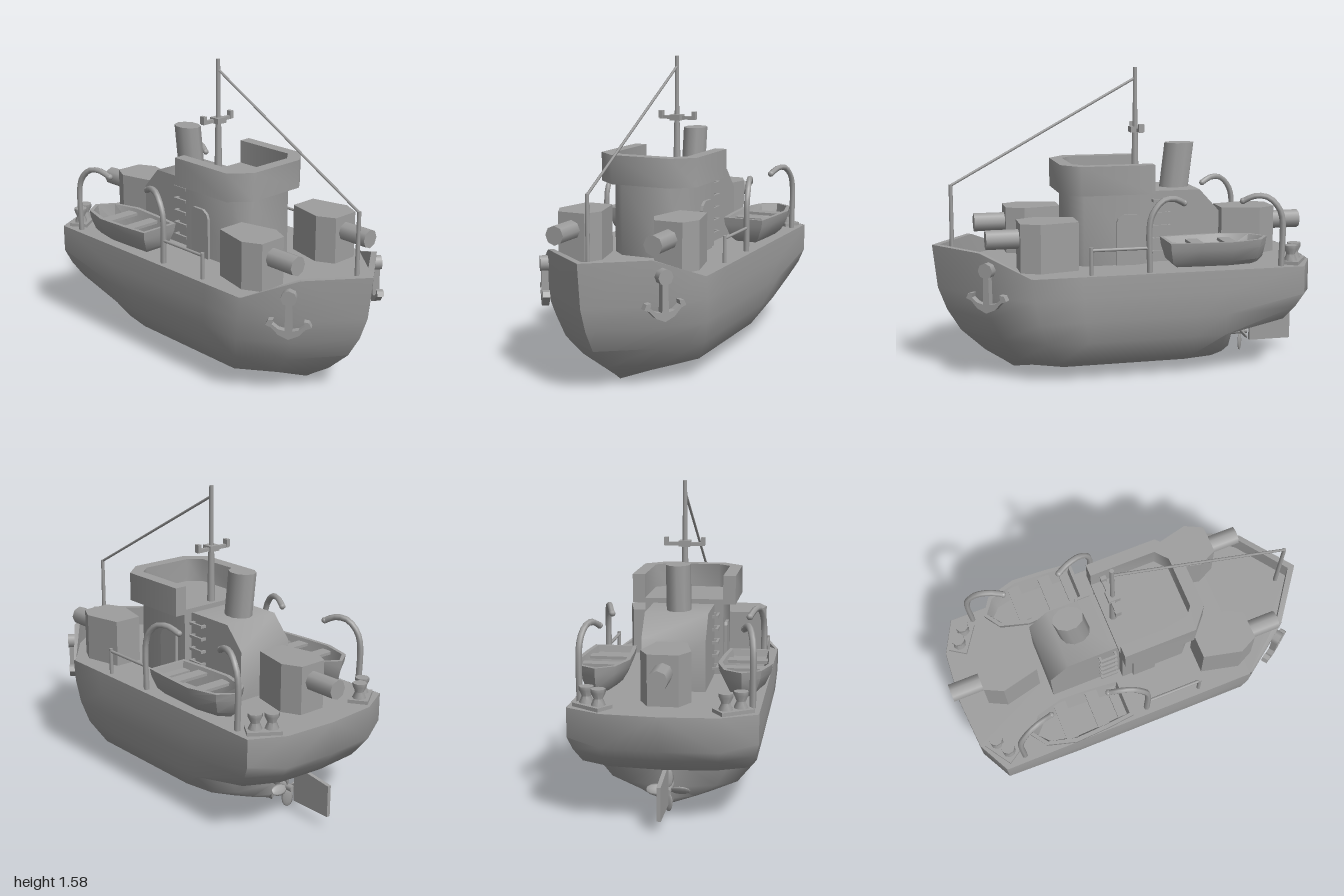
import * as THREE from 'three';
import { toCreasedNormals } from 'three/addons/utils/BufferGeometryUtils.js';

const grey = new THREE.MeshStandardMaterial({ color: 0x9e9e9e, side: THREE.DoubleSide });
const V = (x, y, z) => new THREE.Vector3(x, y, z);

function add(parent, name, geo, x = 0, y = 0, z = 0) {
  const mesh = new THREE.Mesh(geo, grey);
  mesh.name = name;
  mesh.position.set(x, y, z);
  parent.add(mesh);
  return mesh;
}

function group(parent, name, x = 0, y = 0, z = 0) {
  const g = new THREE.Group();
  g.name = name;
  g.position.set(x, y, z);
  parent.add(g);
  return g;
}

// Skin over patches, each made of rows of [x, y, z] points, optionally mirrored in x
function skin(patches, mirror, crease) {
  const pos = [];
  for (const s of mirror ? [1, -1] : [1]) {
    const tri = (a, b, c) => {
      for (const p of s > 0 ? [a, b, c] : [a, c, b]) pos.push(p[0] * s, p[1], p[2]);
    };
    for (const rows of patches) {
      for (let i = 0; i < rows.length - 1; i++) {
        for (let j = 0; j < rows[i].length - 1; j++) {
          const a = rows[i][j], b = rows[i][j + 1], c = rows[i + 1][j], d = rows[i + 1][j + 1];
          tri(a, c, b);
          tri(b, c, d);
        }
      }
    }
  }
  const geo = new THREE.BufferGeometry();
  geo.setAttribute('position', new THREE.Float32BufferAttribute(pos, 3));
  return toCreasedNormals(geo, crease);
}

const outline = (pts) => new THREE.Shape(pts.map(([x, y]) => new THREE.Vector2(x, y)));
const extrude = (pts, depth) => new THREE.ExtrudeGeometry(outline(pts), { depth, bevelEnabled: false })
  .translate(0, 0, -depth / 2);
// Horizontal slab from an [x, z] outline
const slab = (pts, y0, y1) => extrude(pts.map(([x, z]) => [x, -z]), y1 - y0)
  .rotateX(-Math.PI / 2).translate(0, (y0 + y1) / 2, 0);
// Completes a right-hand half outline with its mirror image
const both = (half) => [...half, ...half.filter(([x]) => x > 0).map(([x, z]) => [-x, z]).reverse()];
const soft = (geo) => toCreasedNormals(geo, 1);

function rod(parent, name, a, b, r, r2 = r, sides = 8) {
  const dir = b.clone().sub(a);
  const mesh = add(parent, name, new THREE.CylinderGeometry(r2, r, dir.length(), sides));
  mesh.position.copy(a).add(b).multiplyScalar(0.5);
  mesh.quaternion.setFromUnitVectors(V(0, 1, 0), dir.normalize());
}

function buildHull(ship) {
  const hull = group(ship, 'hull');
  // Levels from rail to keel: height, half width, stem z
  const levels = [[0.565, 0.455, 1], [0.45, 0.455, 0.975], [0.33, 0.443, 0.93], [0.215, 0.415, 0.86],
    [0.1, 0.35, 0.735], [0.038, 0.21, 0.64], [0, 0, 0.585]];
  const stations = [[1, 0], [0.79, 0.62], [0.55, 1], [0.3, 1], [0, 1], [-0.3, 1], [-0.46, 1]];
  const rows = levels.map(([y, w, bow], k) => stations.map(([z, f], j) =>
    [w * f, k === 0 && j < 2 ? 0.675 : y, z > 0 ? z * bow : z]));
  // Lower body rounds in to the stern post: half widths and post z
  const run = [[0.415, 0.3, 0.02, -0.61], [0.32, 0.22, 0.018, -0.59], [0.175, 0.11, 0.015, -0.578], [0, 0, 0, -0.57]];
  const lower = run.map(([w0, w1, w2, post], i) => {
    const y = levels[i + 3][0];
    return [...rows[i + 3].slice(0, 6), [w0, y, -0.46],
      [w1, i ? y : 0.23, -0.54], [w2, i ? y : 0.245, post], [0, i ? y : 0.245, post]];
  });
  // Upper body carries on round the overhanging stern
  const stern = [
    [[0.455, 0.565, -0.87], [0.28, 0.565, -0.96], [0, 0.565, -0.98]],
    [[0.455, 0.42, -0.87], [0.28, 0.4, -0.96], [0, 0.4, -0.98]],
    [[0.435, 0.35, -0.83], [0.27, 0.345, -0.92], [0, 0.345, -0.94]],
    [[0.4, 0.28, -0.78], [0.25, 0.29, -0.88], [0, 0.29, -0.9]]];
  const upper = stern.map((pts, i) => [...rows[i], ...pts]);
  const edge = upper[3].slice(6);
  const overhang = [edge, edge.map(([, y, z]) => [0, y, z])];
  add(hull, 'hullShell', skin([upper, lower, overhang], true, 1));

  // Bow bulwark and deck
  add(hull, 'bulwark', skin([[
    [[0.455, 0.565, 0.55], [0.282, 0.675, 0.79], [0, 0.675, 1]],
    [[0.44, 0.565, 0.55], [0.262, 0.675, 0.77], [0, 0.675, 0.96]],
    [[0.44, 0.565, 0.55], [0.262, 0.565, 0.77], [0, 0.565, 0.96]]]], true, 0.4));
  add(hull, 'deck', slab(both([[0, 0.96], [0.262, 0.77], [0.453, 0.54], [0.454, -0.868], [0.28, -0.958], [0, -0.978]]),
    0.55, 0.565));
}

function buildBridge(ship) {
  const bridge = group(ship, 'superstructure');
  add(bridge, 'bridgeHouse', soft(slab(both([[0.205, -0.11], [0.205, 0.24], [0.13, 0.31]]), 0.56, 0.95)));
  const outer = [[0.27, -0.12], [0.27, 0.265], [0.165, 0.355]];
  const inner = [[0.205, -0.12], [0.205, 0.235], [0.14, 0.29]];
  add(bridge, 'bridgeFloor', soft(slab(both(inner), 0.94, 0.965)));
  add(bridge, 'bridgeWall', soft(slab([...both(outer), ...both(inner).reverse()], 0.94, 1.09)));

  // Rear deckhouse with sloped back
  const profile = [[0.1, 0.56], [0.1, 0.94], [0.39, 0.94], [0.495, 0.825], [0.495, 0.56]];
  add(bridge, 'rearHouse', soft(extrude(profile, 0.32).rotateY(Math.PI / 2)));
  const funnel = new THREE.CylinderGeometry(0.07, 0.07, 0.25, 10).scale(0.9, 1, 1.15);
  const p = funnel.attributes.position;
  for (let i = 0; i < p.count; i++) p.setZ(i, p.getZ(i) - p.getY(i) * 0.12);
  add(bridge, 'funnel', funnel, 0, 1.05, -0.305);

  for (const s of [1, -1]) {
    // Door with clipped top corners, and ladder rungs
    const door = [[-0.065, 0], [0.06, 0], [0.06, 0.25], [0.045, 0.265], [-0.025, 0.265], [-0.055, 0.245], [-0.065, 0.22]];
    add(bridge, 'door', extrude(door, 0.03).rotateY(Math.PI / 2), s * 0.205, 0.565, 0.008);
    for (let i = 0; i < 5; i++) {
      const y = 0.62 + i * 0.068;
      add(bridge, 'ladderRung', new THREE.BoxGeometry(0.012, 0.014, 0.095), s * 0.185, y, -0.177);
      for (const e of [-0.042, 0.042])
        add(bridge, 'rungBracket', new THREE.BoxGeometry(0.03, 0.014, 0.012), s * 0.17, y, -0.177 + e);
    }
  }
}

function buildMasts(ship) {
  const masts = group(ship, 'masts');
  rod(masts, 'lowerMast', V(0, 0.96, -0.078), V(0, 1.25, -0.078), 0.021, 0.015);
  rod(masts, 'upperMast', V(0, 1.25, -0.078), V(0, 1.575, -0.078), 0.013, 0.011);
  add(masts, 'mastCollar', new THREE.BoxGeometry(0.06, 0.03, 0.06), 0, 1.25, -0.078);
  add(masts, 'crossBar', new THREE.BoxGeometry(0.21, 0.018, 0.02), 0, 1.248, -0.088);
  for (const s of [1, -1])
    add(masts, 'crossBarEnd', new THREE.BoxGeometry(0.02, 0.04, 0.03), s * 0.096, 1.263, -0.088);
  rod(masts, 'bowPole', V(0, 0.56, 0.897), V(0, 0.985, 0.897), 0.012, 0.01);
  rod(masts, 'stay', V(0, 0.98, 0.897), V(0, 1.52, -0.078), 0.007, 0.007, 6);
}

function buildGun(ship, x, z, turn) {
  const gun = group(ship, 'gunTurret', x, 0, z);
  gun.rotation.y = turn;
  add(gun, 'turretBase', new THREE.CylinderGeometry(0.038, 0.038, 0.03, 12), 0, 0.57, -0.037);
  add(gun, 'turret', slab(both([[0.075, -0.15], [0.122, 0.05], [0.075, 0.145]]), 0.576, 0.824));
  add(gun, 'barrel', new THREE.CylinderGeometry(0.05, 0.05, 0.2, 8).rotateX(Math.PI / 2), 0, 0.737, 0.21);
}

// Lifeboat, davits and handrail for one side
function buildBoatStation(side) {
  const boat = group(side, 'lifeboat', 0.355, 0, 0);
  const half = [[0, -0.695], [0.09, -0.635], [0.135, -0.48], [0.125, -0.3], [0.11, -0.15]];
  const loop = [...half, ...half.slice(1).map(([x, z]) => [-x, z]).reverse(), half[0]];
  const ring = (w, l, y) => loop.map(([x, z]) => [x * w, y, -0.41 + (z + 0.41) * l]);
  add(boat, 'boatShell', skin([[ring(0, 0, 0.583), ring(0.5, 0.82, 0.583), ring(0.72, 0.92, 0.61), ring(0.95, 0.98, 0.675),
    ring(1, 1, 0.715), ring(0.84, 0.93, 0.715), ring(0.6, 0.85, 0.615), ring(0, 0, 0.615)]], false, 0.7));
  for (const z of [-0.49, -0.315])
    add(boat, 'boatBench', new THREE.BoxGeometry(0.205, 0.015, 0.065), 0, 0.69, z);
  add(boat, 'sternBench', new THREE.BoxGeometry(0.17, 0.015, 0.05), 0, 0.675, -0.205);

  for (const [z, d] of [[-0.055, -1], [-0.755, 1]]) {
    const path = new THREE.CatmullRomCurve3([V(0.415, 0.56, z), V(0.415, 0.82, z), V(0.41, 0.88, z + d * 0.025),
      V(0.395, 0.925, z + d * 0.075), V(0.375, 0.928, z + d * 0.14), V(0.355, 0.9, z + d * 0.195)]);
    add(side, 'davit', new THREE.TubeGeometry(path, 16, 0.016, 6));
    add(side, 'davitTip', new THREE.SphereGeometry(0.017, 8, 6), 0.355, 0.902, z + d * 0.193);
  }
  rod(side, 'handrail', V(0.418, 0.69, -0.055), V(0.418, 0.69, 0.25), 0.008);
  rod(side, 'railPost', V(0.418, 0.56, 0.247), V(0.418, 0.705, 0.247), 0.01);
}

function buildBollards(side) {
  const g = group(side, 'bollards', 0.333, 0.565, -0.847);
  g.rotation.y = -0.59;
  add(g, 'bollardBase', new THREE.BoxGeometry(0.17, 0.018, 0.1), 0, 0.009, 0);
  const profile = [[0, 0], [0.035, 0], [0.035, 0.02], [0.022, 0.05], [0.036, 0.08], [0.036, 0.097], [0, 0.097]]
    .map(([x, y]) => new THREE.Vector2(x, y));
  for (const x of [-0.04, 0.04])
    add(g, 'bollard', soft(new THREE.LatheGeometry(profile, 8)), x, 0, 0);
}

function buildAnchor(side) {
  const a = group(side, 'anchor', 0.325, 0.5, 0.755);
  a.rotation.y = 0.95;
  const half = [[0, -0.12], [0.05, -0.098], [0.083, -0.062], [0.112, -0.05], [0.1, -0.025], [0.075, -0.022],
    [0.08, -0.045], [0.05, -0.068], [0.018, -0.075], [0.015, 0.07]];
  add(a, 'anchorBody', extrude(both(half), 0.035));
  add(a, 'anchorHead', new THREE.CylinderGeometry(0.04, 0.04, 0.045, 8).rotateX(Math.PI / 2), 0, 0.095, 0);
}

function buildSteering(ship) {
  const prop = group(ship, 'propeller', 0, 0.115, -0.68);
  add(prop, 'shaft', new THREE.CylinderGeometry(0.018, 0.018, 0.16, 8).rotateX(Math.PI / 2), 0, 0, 0.04);
  for (let i = 0; i < 4; i++) {
    const arm = group(prop, 'bladeArm');
    arm.rotation.z = i * Math.PI / 2;
    const blade = add(arm, 'blade', new THREE.SphereGeometry(1, 8, 6).scale(0.03, 0.05, 0.008), 0, 0.06, 0);
    blade.rotation.y = 0.6;
  }
  add(ship, 'rudder', extrude([[0.735, 0.06], [0.97, 0.06], [0.97, 0.225], [0.735, 0.257]], 0.02).rotateY(Math.PI / 2));
  rod(ship, 'rudderStock', V(0, 0.22, -0.76), V(0, 0.3, -0.76), 0.01);
}

export function createModel() {
  const ship = new THREE.Group();
  ship.name = 'ship';
  buildHull(ship);
  buildBridge(ship);
  buildMasts(ship);
  buildGun(ship, 0.268, 0.445, 0);
  buildGun(ship, -0.268, 0.445, 0);
  buildGun(ship, 0, -0.69, Math.PI);
  for (const s of [1, -1]) {
    const side = group(ship, s > 0 ? 'leftFittings' : 'rightFittings');
    side.scale.x = s;
    buildBoatStation(side);
    buildBollards(side);
    buildAnchor(side);
  }
  buildSteering(ship);
  return ship;
}
